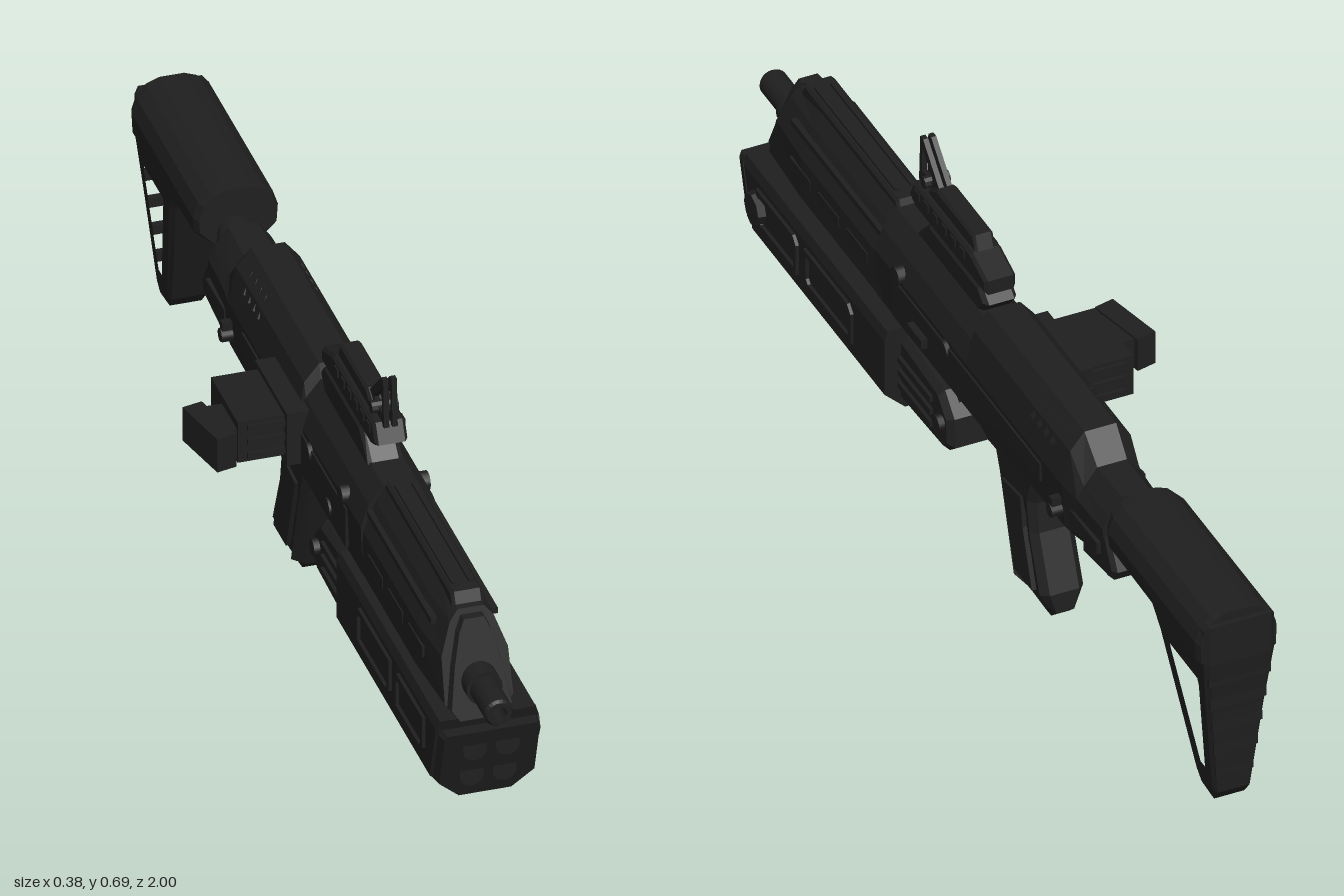
import * as THREE from 'three';

const gunmetal = new THREE.MeshStandardMaterial({ color: 0x1f1f1f, flatShading: true });
gunmetal.name = 'gunmetal';
const gunmetalSmooth = new THREE.MeshStandardMaterial({ color: 0x1f1f1f });
gunmetalSmooth.name = 'gunmetal';
const CX = 0.07; // centre plane of the body

export function createModel() {
  const root = new THREE.Group();
  root.name = 'blasterRifle';

  const add = (name, geo, mat = gunmetal, parent = root) => {
    const m = new THREE.Mesh(geo, mat);
    m.name = name;
    parent.add(m);
    return m;
  };
  const box = (name, w, h, d, x, y, z) => {
    const m = add(name, new THREE.BoxGeometry(w, h, d));
    m.position.set(x, y, z);
    return m;
  };
  // cylinder along 'x' or 'z'
  const rod = (name, r, len, axis, x, y, z, sides = 20, r2 = r) => {
    const g = new THREE.CylinderGeometry(r, r2, len, sides);
    if (axis === 'x') g.rotateZ(-Math.PI / 2); else g.rotateX(Math.PI / 2);
    const m = add(name, g, sides > 10 ? gunmetalSmooth : gunmetal);
    m.position.set(x, y, z);
    return m;
  };
  // side profile of [z, y] points, extruded across x
  const profile = (pts, width, cx, holes = [], bevel = 0) => {
    const toPts = (a) => a.map(([z, y]) => new THREE.Vector2(z, y));
    const s = new THREE.Shape(toPts(pts));
    holes.forEach((h) => s.holes.push(new THREE.Path(toPts(h))));
    const depth = width - 2 * bevel;
    const g = new THREE.ExtrudeGeometry(s, {
      depth, bevelEnabled: bevel > 0, bevelSize: bevel, bevelOffset: -bevel, bevelThickness: bevel, bevelSegments: 1,
    });
    return g.translate(0, 0, -depth / 2).rotateY(-Math.PI / 2).translate(cx, 0, 0);
  };
  // mirrored cross-sections from back to front; half points are [halfWidth, y] from bottom to top,
  // slant leans a section along z around y = 0.4
  const loft = (sections, cx = CX) => {
    const rings = sections.map(({ z, half, slant = 0 }) => {
      const all = [...half, ...half.slice().reverse().map(([w, y]) => [-w, y])];
      return all.map(([w, y]) => [cx + w, y, z + slant * (y - 0.4)]);
    });
    const n = rings[0].length, v = [];
    const tri = (a, b, c) => v.push(...a, ...b, ...c);
    for (let i = 0; i + 1 < rings.length; i++) {
      for (let j = 0; j < n; j++) {
        const k = (j + 1) % n, A = rings[i], B = rings[i + 1];
        tri(A[j], A[k], B[k]);
        tri(A[j], B[k], B[j]);
      }
    }
    const back = rings[0], front = rings[rings.length - 1];
    for (let j = 1; j + 1 < n; j++) {
      tri(front[0], front[j], front[j + 1]);
      tri(back[0], back[j + 1], back[j]);
    }
    const g = new THREE.BufferGeometry();
    g.setAttribute('position', new THREE.Float32BufferAttribute(v, 3));
    g.computeVertexNormals();
    return g;
  };
  const bodyHalf = (top, bottom = 0.29, w = 0.075) => [
    [w * 0.65, bottom], [w * 0.95, bottom + 0.03], [w, 0.42], [w * 0.8, top - 0.035], [w * 0.42, top]];

  // receiver
  add('receiver', loft([
    { z: -0.54, half: bodyHalf(0.48, 0.32, 0.066) },
    { z: -0.44, half: bodyHalf(0.48, 0.31, 0.07) },
    { z: -0.39, half: bodyHalf(0.527, 0.3) },
    { z: 0.015, half: bodyHalf(0.527) },
    { z: 0.025, half: bodyHalf(0.5) },
    { z: 0.4, half: bodyHalf(0.5) }]));
  add('rearBlock', profile([[-0.45, 0.31], [-0.57, 0.325], [-0.585, 0.35], [-0.55, 0.41], [-0.45, 0.41]], 0.13, CX, [], 0.008));

  // handguard with a separate slanted nose plate
  const guardHalf = (k, top) => [[0.05 * k, 0.3], [0.07 * k, 0.325], [0.068 * k, 0.41], [0.045 * k, 0.47], [0.027 * k, top]];
  const noseHalf = [[0.045, 0.305], [0.06, 0.325], [0.047, 0.4], [0.032, 0.46], [0.02, 0.485]];
  add('handguard', loft([
    { z: 0.38, half: guardHalf(1.04, 0.5) },
    { z: 0.72, half: guardHalf(1.04, 0.5) },
    { z: 0.845, half: guardHalf(0.92, 0.49), slant: -0.3 }]));
  add('nosePlate', loft([
    { z: 0.855, half: noseHalf, slant: -0.3 },
    { z: 0.872, half: noseHalf.map(([w, y]) => [w * 0.94, y]), slant: -0.3 }], 0.067));
  add('handguardTopRail', profile([[0.39, 0.48], [0.81, 0.48], [0.795, 0.513], [0.405, 0.513]], 0.06, CX, [], 0.006));
  for (const s of [-1, 1]) {
    for (const z of [0.48, 0.6, 0.72]) box('handguardVent', 0.012, 0.022, 0.085, CX + s * 0.068, 0.375, z);
    box('handguardRib', 0.012, 0.012, 0.4, CX + s * 0.057, 0.448, 0.58);
    box('topRailStrip', 0.01, 0.008, 0.34, CX + s * 0.016, 0.514, 0.6);
  }

  // barrel
  rod('barrel', 0.022, 0.22, 'z', 0.067, 0.373, 0.83);
  rod('barrelCollar', 0.034, 0.05, 'z', 0.067, 0.373, 0.885);
  const muzzle = new THREE.LatheGeometry([[0.014, -0.06], [0.027, -0.06], [0.027, 0.054], [0.023, 0.06], [0.014, 0.06], [0.014, 0.02], [0, 0.02]]
    .map(([x, y]) => new THREE.Vector2(x, y)), 24).rotateX(Math.PI / 2);
  add('muzzle', muzzle).position.set(0.067, 0.373, 0.94);

  // under-barrel launcher
  const UX = 0.077;
  const underHalf = [[0.055, 0.133], [0.096, 0.172], [0.096, 0.29], [0.09, 0.31]];
  add('launcherBody', loft([
    { z: 0.3, half: underHalf }, { z: 0.84, half: underHalf, slant: 0.3 }], UX));
  const plateHalf = [[0.052, 0.136], [0.094, 0.174], [0.094, 0.285], [0.088, 0.295]];
  add('launcherFrontPlate', loft([
    { z: 0.935, half: plateHalf, slant: 0.3 },
    { z: 0.96, half: plateHalf.map(([w, y]) => [w * 0.95, y]), slant: 0.3 }], UX));
  add('launcherCore', loft([
    { z: 0.8, half: [[0.04, 0.16], [0.075, 0.19], [0.075, 0.26], [0.07, 0.275]], slant: 0.3 },
    { z: 0.945, half: [[0.04, 0.16], [0.075, 0.19], [0.075, 0.26], [0.07, 0.275]], slant: 0.3 }], UX));
  add('launcherSpine', loft([
    { z: 0.82, half: underHalf, slant: 0.3 }, { z: 0.925, half: underHalf, slant: 0.3 }], UX));
  for (const dx of [-0.031, 0.031]) {
    for (const y of [0.188, 0.253]) {
      rod('launcherTube', 0.023, 0.03, 'z', UX + dx, y, 0.948 + (y - 0.4) * 0.3, 16);
    }
  }
  // framed panels on the launcher sides
  for (const s of [-1, 1]) {
    for (const [a, b] of [[0.66, 0.83], [0.43, 0.63]]) {
      const frame = [[a, 0.2], [b - 0.015, 0.2], [b, 0.215], [b, 0.28], [a + 0.015, 0.28], [a, 0.265]];
      const inner = [[a + 0.012, 0.212], [b - 0.02, 0.212], [b - 0.012, 0.22], [b - 0.012, 0.268], [a + 0.02, 0.268], [a + 0.012, 0.26]];
      add('launcherPanelFrame', profile(frame, 0.009, UX + s * 0.098, [inner]));
    }
  }
  rod('launcherKnob', 0.03, 0.022, 'x', 0.177, 0.238, 0.83, 8, 0.034);

  // launcher breech behind the main housing
  add('launcherBreech', profile([[0.32, 0.145], [0.12, 0.155], [0.095, 0.175], [0.1, 0.235], [0.14, 0.275], [0.37, 0.295], [0.37, 0.16]], 0.14, CX, [], 0.012));
  for (const s of [-1, 1]) {
    for (let i = 0; i < 3; i++) box('breechRib', 0.012, 0.012, 0.15, CX + s * 0.071, 0.187 + i * 0.028, 0.24);
    rod('breechPin', 0.016, 0.02, 'x', CX + s * 0.072, 0.215, 0.13, 12);
  }
  box('breechMount', 0.08, 0.06, 0.2, CX, 0.285, 0.22);

  // grip, narrowing toward the bottom
  const grip = profile([[-0.015, 0.3], [-0.045, 0.22], [-0.105, 0.025], [-0.13, 0.003], [-0.22, 0], [-0.243, 0.02],
    [-0.24, 0.06], [-0.195, 0.17], [-0.185, 0.23], [-0.205, 0.3]], 0.086, 0, [], 0.014);
  const gp = grip.attributes.position;
  for (let i = 0; i < gp.count; i++) gp.setX(i, gp.getX(i) * (gp.getY(i) < 0.03 ? 0.6 : 1));
  grip.computeVertexNormals();
  add('grip', grip).position.x = CX;
  for (const s of [-1, 1]) {
    add('gripPanel', profile([[-0.075, 0.22], [-0.13, 0.055], [-0.205, 0.055], [-0.165, 0.17], [-0.155, 0.23]], 0.009, CX + s * 0.044));
  }

  // trigger and its guard
  add('triggerGuard', profile([[0.085, 0.3], [0.075, 0.225], [0.045, 0.215], [-0.045, 0.22], [-0.045, 0.3]], 0.035, CX,
    [[[0.065, 0.285], [0.058, 0.235], [-0.035, 0.235], [-0.035, 0.285]]]));
  add('trigger', profile([[0.03, 0.3], [0.02, 0.24], [0.005, 0.24], [0, 0.3]], 0.018, CX));

  // side magazine with flared end
  box('magazineWell', 0.06, 0.11, 0.19, -0.005, 0.402, -0.04);
  box('magazine', 0.125, 0.085, 0.16, -0.06, 0.404, -0.04);
  for (const y of [0.375, 0.404, 0.433]) box('magazineRib', 0.07, 0.012, 0.172, -0.07, y, -0.04);
  box('magazineCatch', 0.035, 0.03, 0.06, -0.08, 0.357, -0.03);
  const cap = box('magazineCap', 0.04, 0.07, 0.125, -0.163, 0.4, 0);
  cap.rotation.y = 0.22;
  box('magazineNeck', 0.06, 0.06, 0.09, -0.13, 0.4, -0.01);

  // receiver side fittings
  rod('crossPin', 0.013, 0.19, 'x', CX, 0.362, -0.376, 12);
  box('crossPinPlate', 0.185, 0.04, 0.014, CX, 0.37, -0.376);
  for (const s of [-1, 1]) {
    const side = (w) => CX + s * w;
    for (const [z, y] of [[0.3, 0.43], [0.1, 0.4], [0.22, 0.355]]) rod('receiverBolt', 0.018, 0.02, 'x', side(0.073), y, z, 12);
    add('receiverPanel', profile([[0.32, 0.33], [-0.05, 0.33], [-0.12, 0.37], [-0.3, 0.37], [-0.3, 0.41], [0.32, 0.41]], 0.009, side(0.074)));
    add('rearSlot', profile([[-0.42, 0.35], [-0.53, 0.36], [-0.53, 0.385], [-0.42, 0.385]], 0.009, side(0.069)));
    for (let i = 0; i < 4; i++) {
      const fin = box('coolingFin', 0.012, 0.045, 0.012, side(0.052), 0.488, -0.25 - i * 0.028);
      fin.rotation.set(-0.4, 0, s * 0.5);
    }
  }
  box('selectorLever', 0.02, 0.02, 0.06, 0.152, 0.365, 0.2);

  // sight with rail and twin front posts
  const SX = 0.067;
  add('sightBase', profile([[0.33, 0.49], [0.06, 0.49], [0.03, 0.525], [0.06, 0.55], [0.27, 0.55]], 0.066, SX, [], 0.008));
  add('sightRail', profile([[0.36, 0.56], [0.34, 0.597], [0.1, 0.597], [0.035, 0.575], [0.035, 0.545], [0.33, 0.545]], 0.062, SX, [], 0.006));
  add('sightBody', profile([[0.3, 0.59], [0.3, 0.605], [0.265, 0.625], [0.11, 0.625], [0.095, 0.59]], 0.04, SX, [], 0.005));
  for (let i = 0; i < 6; i++) box('sightRailTooth', 0.068, 0.016, 0.02, SX, 0.58, 0.13 + i * 0.038);
  for (const s of [-1, 1]) {
    add('frontPost', profile([[0.352, 0.59], [0.347, 0.688], [0.335, 0.688], [0.265, 0.62], [0.265, 0.59]], 0.01, SX + s * 0.008,
      [[[0.34, 0.615], [0.338, 0.668], [0.29, 0.62]]]));
  }
  rod('sightScrew', 0.012, 0.05, 'x', SX, 0.612, 0.31, 10);
  box('rearSight', 0.03, 0.03, 0.02, SX, 0.56, 0.045);

  // stock tube, cheek rest and open triangular butt
  rod('stockTube', 0.032, 0.2, 'z', CX, 0.435, -0.6);
  rod('stockTubeCollar', 0.042, 0.03, 'z', CX, 0.435, -0.55);
  const KX = 0.078;
  const stockHalf = (k, low = 0.4) => [[0.05 * k, low], [0.078 * k, low + 0.025], [0.08 * k, 0.465],
    [0.07 * k, 0.495], [0.05 * k, 0.514], [0.025 * k, 0.523]];
  add('cheekRest', loft([
    { z: -0.99, half: stockHalf(0.94) }, { z: -0.975, half: stockHalf(1) },
    { z: -0.61, half: stockHalf(1, 0.41) }, { z: -0.592, half: stockHalf(0.92, 0.415) }], KX));
  const butt = profile([[-0.76, 0.42], [-0.79, 0.37], [-0.885, 0.115], [-0.905, 0.09], [-0.95, 0.085], [-0.968, 0.11],
    [-0.985, 0.3], [-1, 0.42], [-1, 0.505], [-0.96, 0.505]], 0.14, 0,
  [[[-0.825, 0.375], [-0.83, 0.35], [-0.91, 0.14], [-0.945, 0.14], [-0.965, 0.35], [-0.96, 0.375]]], 0.01);
  const bp = butt.attributes.position;
  for (let i = 0; i < bp.count; i++) {
    const t = THREE.MathUtils.clamp((bp.getY(i) - 0.09) / 0.33, 0, 1);
    bp.setX(i, bp.getX(i) * (0.5 + 0.5 * t));
  }
  butt.computeVertexNormals();
  add('buttFrame', butt).position.x = KX;
  for (let i = 0; i < 5; i++) {
    box('buttPadRib', 0.075 + i * 0.012, 0.02, 0.012, KX, 0.16 + i * 0.055, -0.967 - i * 0.0055);
  }
  add('stockLatch', profile([[-0.64, 0.42], [-0.66, 0.395], [-0.76, 0.385], [-0.8, 0.42]], 0.06, KX));
  return root;
}
